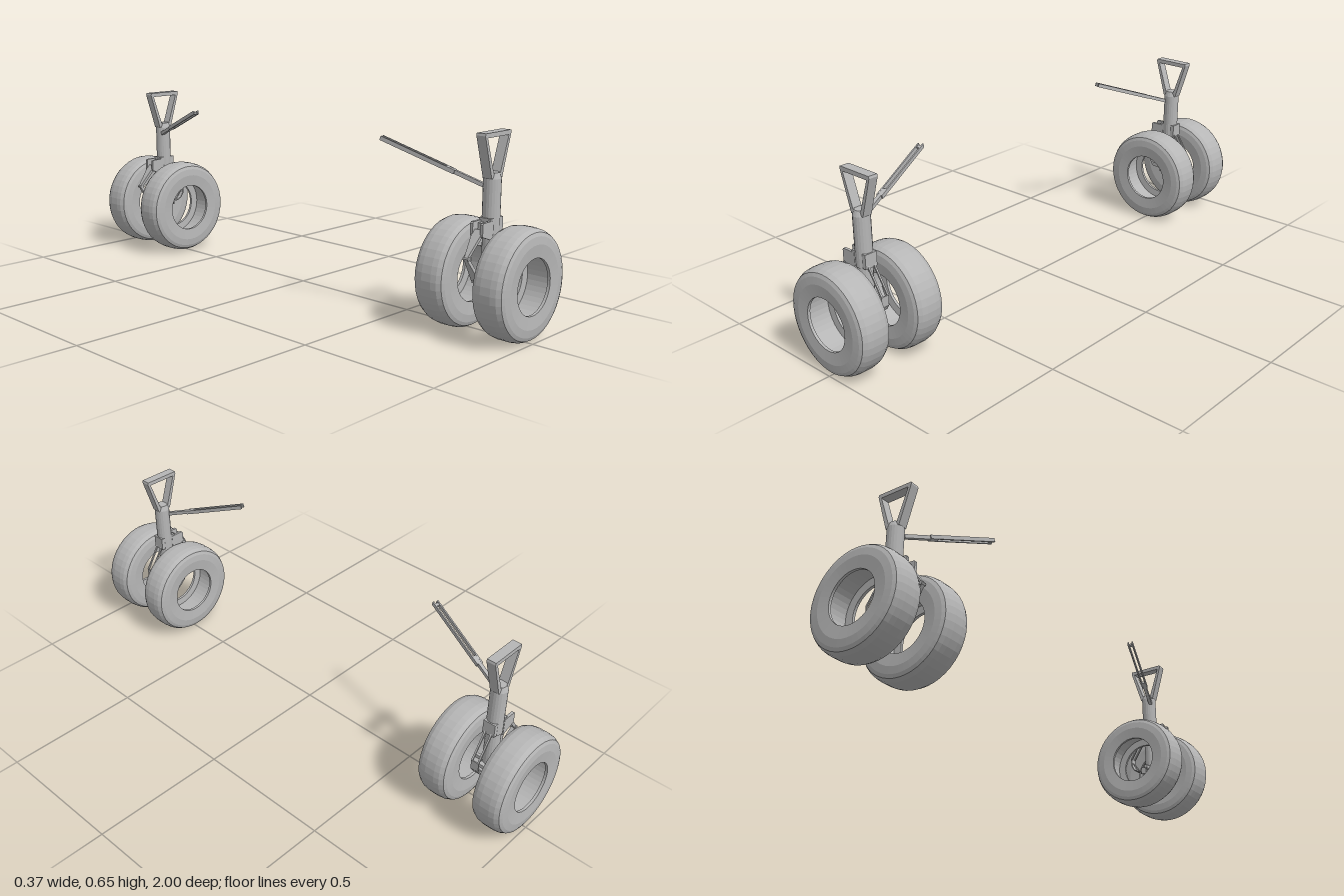
import * as THREE from 'three';

const grey = new THREE.MeshStandardMaterial({ color: 0xb6b6b6 });
grey.name = 'gear grey';
const V = (x, y, z) => new THREE.Vector3(x, y, z);

// Mesh with one normal per face
function faceted(name, geometry) {
  const g = geometry.index ? geometry.toNonIndexed() : geometry;
  g.computeVertexNormals();
  const mesh = new THREE.Mesh(g, grey);
  mesh.name = name;
  return mesh;
}

function box(name, w, h, d, x, y, z) {
  const mesh = faceted(name, new THREE.BoxGeometry(w, h, d));
  mesh.position.set(x, y, z);
  return mesh;
}

// Rectangular bar from a to b, its width scaled by taper at b
function beam(name, a, b, w, h, taper = 1) {
  const g = new THREE.BoxGeometry(w, h, a.distanceTo(b));
  const p = g.attributes.position;
  for (let i = 0; i < p.count; i++) if (p.getZ(i) > 0) p.setX(i, p.getX(i) * taper);
  const mesh = faceted(name, g);
  mesh.position.copy(a).lerp(b, 0.5);
  mesh.lookAt(b);
  return mesh;
}

// Flat outline in x and y, extruded evenly around z = 0
function plate(name, outline, depth, hole) {
  const toPoints = (list) => list.map(([x, y]) => new THREE.Vector2(x, y));
  const shape = new THREE.Shape(toPoints(outline));
  if (hole) shape.holes.push(new THREE.Path(toPoints(hole)));
  const g = new THREE.ExtrudeGeometry(shape, { depth, bevelEnabled: false });
  g.translate(0, 0, -depth / 2);
  return faceted(name, g);
}

// Tyre section turned around the axle, hollowed behind both bore lips
function tyre(z) {
  const half = [[0.12, 0.044], [0.092, 0.046], [0.092, 0.056], [0.135, 0.06],
    [0.16, 0.057], [0.172, 0.052], [0.18, 0.037], [0.183, 0.018]];
  const points = [
    ...half.map(([r, w]) => new THREE.Vector2(r, -w)),
    ...half.slice().reverse().map(([r, w]) => new THREE.Vector2(r, w)),
    new THREE.Vector2(half[0][0], -half[0][1]),
  ];
  const g = new THREE.LatheGeometry(points, 44);
  g.rotateX(Math.PI / 2);
  const mesh = faceted('tyre', g);
  mesh.position.set(0, 0.184, z);
  return mesh;
}

// One landing gear; side is +1 at the front and -1 at the back
function landingGear(side) {
  const gear = new THREE.Group();
  gear.name = side > 0 ? 'frontGear' : 'rearGear';
  gear.position.z = side * 0.829;

  // Twin wheels and short axle
  gear.add(tyre(0.111), tyre(-0.111));
  gear.add(box('axle', 0.012, 0.014, 0.11, 0, 0.187, 0));

  // Strut with tapered cap
  const profile = [[0, 0.175], [0.026, 0.175], [0.026, 0.33], [0.029, 0.33],
    [0.029, 0.505], [0.022, 0.524], [0, 0.524]];
  gear.add(faceted('strut', new THREE.LatheGeometry(profile.map(([r, y]) => new THREE.Vector2(r, y)), 20)));
  gear.add(box('collar', 0.066, 0.05, 0.046, 0, 0.356, 0));

  // Trapezoid mounting frame on top
  gear.add(plate('mountingFrame',
    [[-0.028, 0.506], [0.028, 0.506], [0.07, 0.644], [0.068, 0.652], [-0.068, 0.652], [-0.07, 0.644]], 0.034,
    [[-0.018, 0.522], [-0.057, 0.637], [0.057, 0.637], [0.018, 0.522]]));

  // Lower foot and arm
  gear.add(box('foot', 0.062, 0.027, 0.034, 0.01, 0.185, 0));
  gear.add(plate('footArm', [[-0.073, 0.177], [-0.02, 0.173], [-0.02, 0.198], [-0.04, 0.196], [-0.073, 0.191]], 0.028));

  // Upper bracket: two cheeks and a bridge
  for (const s of [-1, 1]) {
    gear.add(plate('bracketCheek',
      [[-0.077, 0.33], [-0.02, 0.31], [-0.02, 0.374], [-0.073, 0.374], [-0.077, 0.369]], 0.01)
      .translateZ(s * 0.019));
  }
  gear.add(box('bracketBridge', 0.03, 0.045, 0.03, -0.035, 0.345, 0));

  // Tapered scissor links meeting at a hinge
  const hinge = V(-0.125, 0.267, 0);
  gear.add(beam('lowerScissorLink', V(-0.068, 0.186, 0), hinge, 0.034, 0.011, 0.35));
  gear.add(beam('upperScissorLink', V(-0.062, 0.347, 0), hinge, 0.04, 0.011, 0.3));
  const pin = faceted('hingePin', new THREE.CylinderGeometry(0.007, 0.007, 0.02, 8).rotateX(Math.PI / 2));
  pin.position.copy(hinge);
  gear.add(pin);

  // Curved lower band and forked upper arms on the other side
  const band = [V(0.036, 0.184, 0), V(0.058, 0.186, 0), V(0.076, 0.196, 0), V(0.087, 0.213, 0), V(0.089, 0.25, 0)];
  for (let i = 1; i < band.length; i++) gear.add(beam('lowerBand', band[i - 1], band[i], 0.03, 0.004));
  gear.add(beam('bandStay', V(0.056, 0.187, 0), V(0.086, 0.23, 0), 0.012, 0.004));
  for (const s of [-1, 1]) {
    gear.add(beam('forkArm', V(0.089, 0.248, s * 0.012), V(0.026, 0.345, s * 0.012), 0.006, 0.006));
  }

  // Side brace reaching towards the middle: twin rails, spacers and a root lug
  const root = V(-0.018, 0.482, -side * 0.02);
  const tip = V(-0.115, 0.607, -side * 0.358);
  const at = (t) => root.clone().lerp(tip, t);
  const across = V(0, 1, 0).cross(tip.clone().sub(root)).normalize();
  for (const s of [-1, 1]) {
    const shift = across.clone().multiplyScalar(s * 0.0085);
    gear.add(beam('braceRail', at(0.27).add(shift), tip.clone().add(shift), 0.005, 0.014));
  }
  gear.add(beam('braceLug', root, at(0.36), 0.013, 0.013));
  for (const t of [0.3, 0.95]) gear.add(beam('braceSpacer', at(t), at(t + 0.03), 0.018, 0.009));
  return gear;
}

export function createModel() {
  const model = new THREE.Group();
  model.name = 'landingGearPair';
  model.add(landingGear(1), landingGear(-1));
  return model;
}
